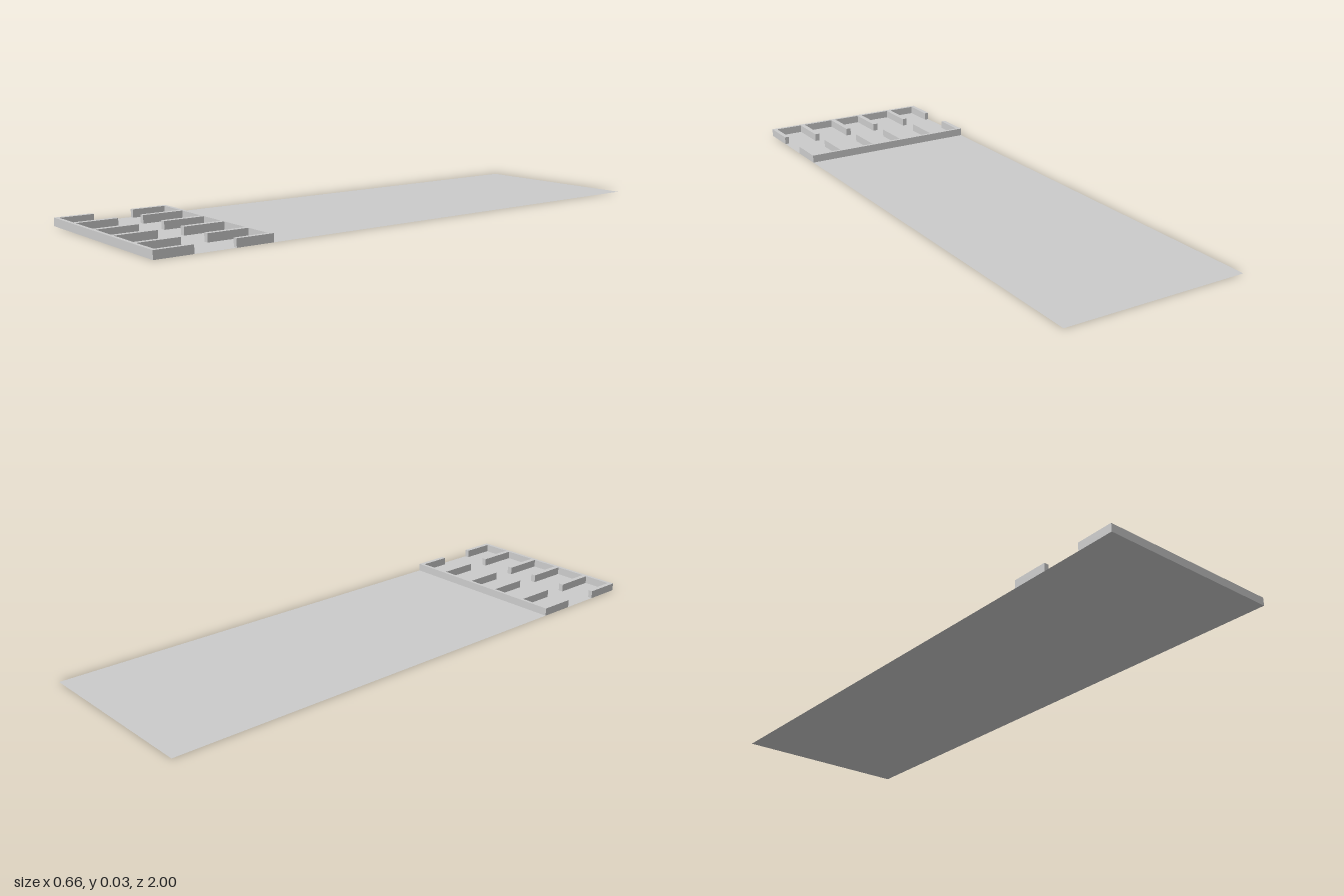
import * as THREE from 'three';

const HALF_WIDTH = 0.33;
const WALL_HEIGHT = 0.028;
const WALL = 0.012; // thickness of the long wall

// Partitions as [x start, x end, depth from the outer face of the long wall]
const right = [[-0.33, -0.314, 0.13], [-0.21, -0.192, 0.156], [-0.071, -0.052, 0.156]];
const partitions = [...right, ...right.map(([a, b, d]) => [-b, -a, d]).reverse()];

// Long wall with its partitions as one comb-shaped extrusion, outer face at z = 0
function combGeometry() {
  const shape = new THREE.Shape();
  shape.moveTo(HALF_WIDTH, 0);
  for (const [a, b, depth] of [...partitions].reverse()) {
    if (b < HALF_WIDTH) shape.lineTo(b, WALL);
    shape.lineTo(b, depth);
    shape.lineTo(a, depth);
    if (a > -HALF_WIDTH) shape.lineTo(a, WALL);
  }
  shape.lineTo(-HALF_WIDTH, 0);
  shape.closePath();
  const geometry = new THREE.ExtrudeGeometry(shape, { depth: WALL_HEIGHT, bevelEnabled: false });
  geometry.rotateX(Math.PI / 2);
  geometry.translate(0, WALL_HEIGHT, 0);
  return geometry;
}

export function createModel() {
  const model = new THREE.Group();
  model.name = 'floorWithStalls';

  // Thin ground sheet
  const floor = new THREE.Mesh(
    new THREE.PlaneGeometry(2 * HALF_WIDTH, 2).rotateX(-Math.PI / 2),
    new THREE.MeshStandardMaterial({ color: 0xcccccc, side: THREE.DoubleSide })
  );
  floor.name = 'floor';
  model.add(floor);

  // Two facing rows of stalls with an open corridor between them
  const wallMaterial = new THREE.MeshStandardMaterial({ color: 0xcccccc });
  const comb = combGeometry();
  const backWalls = new THREE.Mesh(comb, wallMaterial);
  backWalls.name = 'backStallWalls';
  backWalls.position.z = 0.6;

  const frontWalls = new THREE.Mesh(comb, wallMaterial);
  frontWalls.name = 'frontStallWalls';
  frontWalls.rotation.y = Math.PI;
  frontWalls.position.z = 1;

  model.add(backWalls, frontWalls);
  return model;
}
